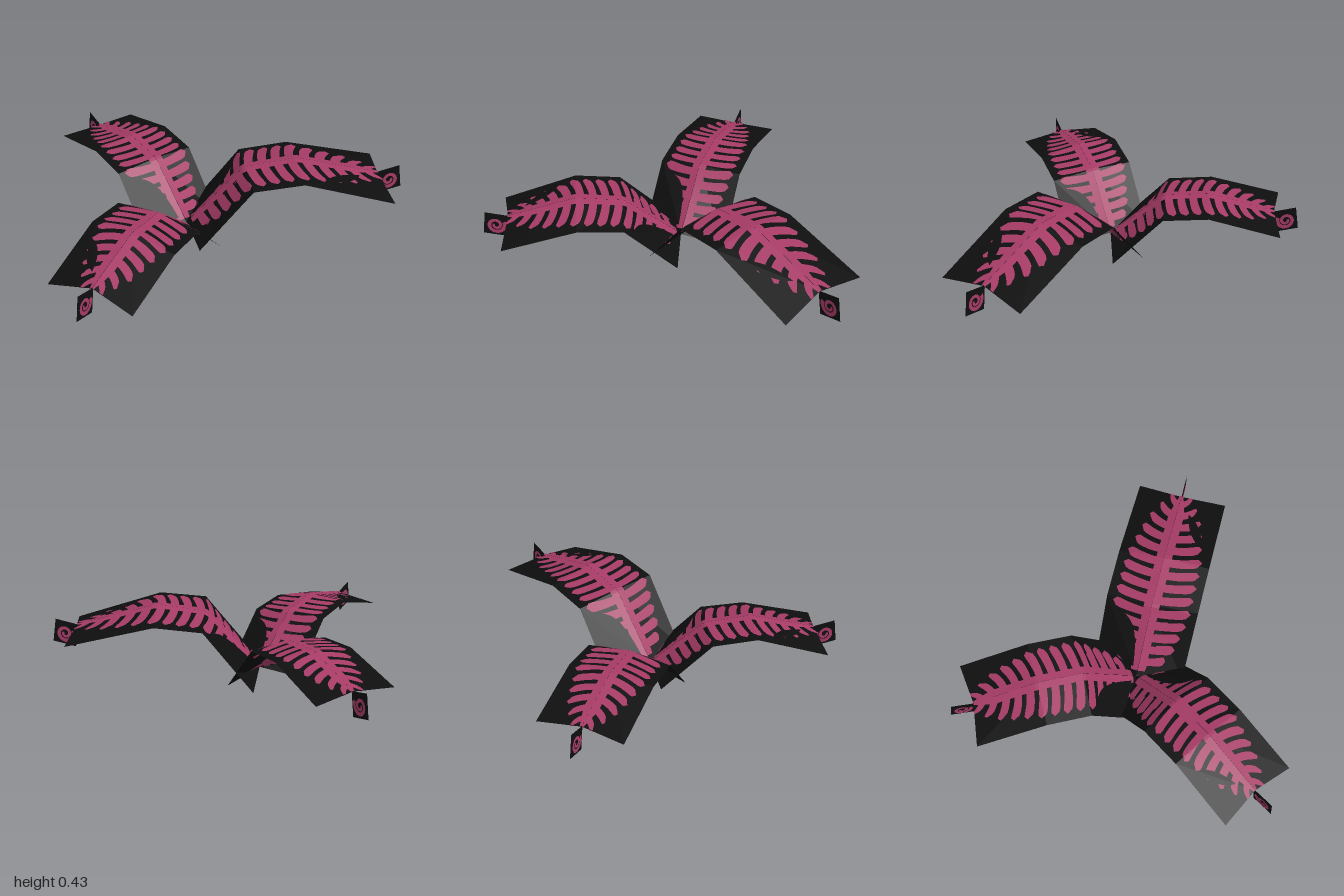
import * as THREE from 'three';

const cardBlack = new THREE.MeshStandardMaterial({ name: 'card black', color: 0x0e0e0e, side: THREE.DoubleSide });
const leafPink = new THREE.MeshStandardMaterial({ name: 'leaf pink', color: 0xa63b66, side: THREE.DoubleSide });

const ROOT = [-0.09, 0.15];
const ROW_F = [0, 0.39, 0.64, 1]; // position of each bend along the frond
const SHIFT = [0.04, 0.01, 0, 0.03]; // how far the side edges run ahead of the midrib

// heights per row: [minus side, midrib, plus side]
const FRONDS = [
  { name: 'backFrond', dir: [-0.14, -0.99], half: 0.23, u: [0, 0.3, 0.55, 0.9],
    y: [[0, 0.05, 0], [0.29, 0.315, 0.3], [0.315, 0.34, 0.325], [0.235, 0.25, 0.235]] },
  { name: 'rightFrond', dir: [-0.82, 0.57], half: 0.23, u: [0, 0.3, 0.55, 0.91],
    y: [[0, 0.05, 0.03], [0.265, 0.3, 0.295], [0.285, 0.335, 0.325], [0.2, 0.25, 0.21]] },
  { name: 'leftFrond', dir: [0.934, 0.357], half: 0.25, u: [0, 0.3, 0.57, 1.02],
    y: [[0, 0.06, 0.05], [0.35, 0.385, 0.39], [0.38, 0.425, 0.415], [0.275, 0.31, 0.27]] },
];

// piecewise linear lookup
function lerpTable(xs, ys, x) {
  let i = 0;
  while (i < xs.length - 2 && x > xs[i + 1]) i++;
  return ys[i] + (ys[i + 1] - ys[i]) * (x - xs[i]) / (xs[i + 1] - xs[i]);
}

// point on the folded frond card: f runs root to tip, w runs -1 to 1 across
function frondPoint(fr, f, w) {
  const a = Math.abs(w);
  const side = w < 0 ? 0 : 2;
  const u = lerpTable(ROW_F, fr.u, f) + a * lerpTable(ROW_F, SHIFT, f);
  const yMid = lerpTable(ROW_F, fr.y.map((r) => r[1]), f);
  const ySide = lerpTable(ROW_F, fr.y.map((r) => r[side]), f);
  const [dx, dz] = fr.dir;
  const s = w * fr.half;
  return new THREE.Vector3(ROOT[0] + dx * u - dz * s, yMid + (ySide - yMid) * a, ROOT[1] + dz * u + dx * s);
}

// same point lifted off the card along its normal
function liftedPoint(fr, f, w, side, lift) {
  const e = 0.01;
  const w0 = side < 0 ? Math.min(w, -e) : Math.max(w, e);
  const df = frondPoint(fr, f + e, w0).sub(frondPoint(fr, f - e, w0));
  const dw = frondPoint(fr, f, w0 + e / 2).sub(frondPoint(fr, f, w0 - e / 2));
  return frondPoint(fr, f, w).addScaledVector(dw.cross(df).normalize(), lift);
}

// grid surface from a point function, flat shaded
function sheet(rows, cols, at) {
  const pos = [];
  const index = [];
  for (let i = 0; i <= rows; i++) {
    for (let j = 0; j <= cols; j++) {
      pos.push(...at(i / rows, j / cols).toArray());
      if (i < rows && j < cols) {
        const k = i * (cols + 1) + j;
        index.push(k, k + 1, k + cols + 1, k + 1, k + cols + 2, k + cols + 1);
      }
    }
  }
  const g = new THREE.BufferGeometry();
  g.setAttribute('position', new THREE.Float32BufferAttribute(pos, 3));
  g.setIndex(index);
  const flat = g.toNonIndexed();
  flat.computeVertexNormals();
  return flat;
}

function addMesh(group, name, geometry, material) {
  const mesh = new THREE.Mesh(geometry, material);
  mesh.name = name;
  group.add(mesh);
}

// leaf half-width (as a share of the card) along its length
const leafWidth = (f) => lerpTable([0, 0.12, 0.32, 0.6, 0.8, 0.94, 1], [0.3, 0.66, 0.86, 0.84, 0.62, 0.28, 0.1], f);

function makeFrond(fr) {
  const group = new THREE.Group();
  group.name = fr.name;
  addMesh(group, 'frondCard', sheet(3, 2, (i, j) => frondPoint(fr, ROW_F[Math.round(i * 3)], j * 2 - 1)), cardBlack);

  const LEAFLETS = 14;
  const pitch = 0.93 / LEAFLETS;
  for (const side of [-1, 1]) {
    for (const lift of [-0.004, 0.004]) {
      // solid strip beside the midrib
      addMesh(group, 'midrib', sheet(50, 1, (i, j) => {
        const f = 0.03 + 0.97 * i;
        return liftedPoint(fr, f, side * j * Math.min(0.17, leafWidth(f) * 0.4), side, lift);
      }), leafPink);

      // round-ended leaflets, swept towards the tip
      for (let n = 0; n < LEAFLETS; n++) {
        const f0 = 0.05 + pitch * (n + 0.5);
        const length = leafWidth(f0);
        const sweep = 0.01 + 0.05 * f0;
        addMesh(group, 'leaflet', sheet(10, 4, (i, j) => {
          const round = i > 0.8 ? Math.sqrt(Math.max(0, 1 - ((i - 0.8) / 0.2) ** 2)) : 1;
          const half = pitch * (0.29 + 0.1 * i) * round;
          const f = Math.min(0.999, f0 + sweep * i * i + (j * 2 - 1) * half);
          return liftedPoint(fr, f, side * length * i, side, lift);
        }), leafPink);
      }
    }
  }
  group.add(makeCurl(fr));
  return group;
}

// upright square card at the tip, painted with a coiled shoot
function makeCurl(fr) {
  const group = new THREE.Group();
  group.name = 'curledTip';
  const [dx, dz] = fr.dir;
  const tip = frondPoint(fr, 1, 0);
  // a runs outward, b runs downward, both 0 to 1
  const at = (a, b, lift) => {
    const out = 0.105 * a + 0.022 * b - 0.008;
    return new THREE.Vector3(tip.x + dx * out - dz * lift, tip.y + 0.03 * a - 0.13 * b, tip.z + dz * out + dx * lift);
  };
  const outScale = 1.18;
  addMesh(group, 'curlCard', sheet(1, 1, (i, j) => at(i * outScale, j, 0)), cardBlack);
  for (const lift of [-0.003, 0.003]) {
    addMesh(group, 'coil', sheet(48, 1, (i, j) => {
      const angle = 2.6 + i * Math.PI * 3.3;
      const r = 0.37 - 0.29 * i + (j - 0.5) * (0.17 - 0.06 * i);
      return at((0.52 + r * Math.cos(angle)) * outScale, 0.52 - r * Math.sin(angle), lift);
    }), leafPink);
  }
  return group;
}

export function createModel() {
  const model = new THREE.Group();
  model.name = 'fernPlant';
  for (const fr of FRONDS) model.add(makeFrond(fr));
  return model;
}
